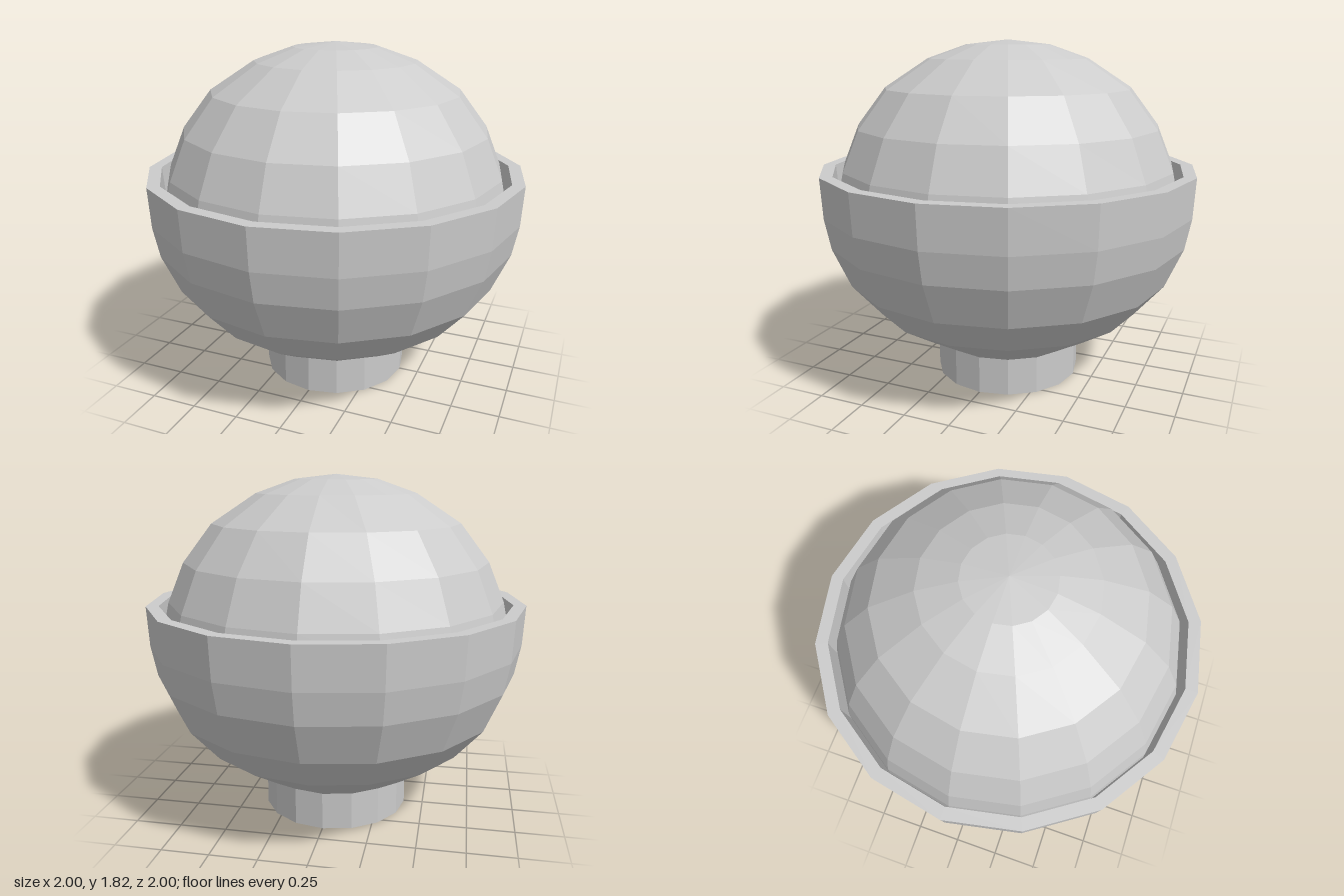
import * as THREE from 'three';

const SIDES = 16;
const grey = new THREE.MeshStandardMaterial({ color: 0xcccccc, flatShading: true });

// Faceted solid of revolution from [radius, height] pairs, listed bottom to top on the outside
function turned(name, profile) {
  const points = profile.map(([r, y]) => new THREE.Vector2(r, y));
  const mesh = new THREE.Mesh(new THREE.LatheGeometry(points, SIDES), grey);
  mesh.name = name;
  return mesh;
}

export function createModel() {
  const group = new THREE.Group();
  group.name = 'domedBowl';

  // Short round foot, closed underneath
  group.add(turned('foot', [[0, 0], [0.395, 0], [0.395, 0.205], [0, 0.205]]));

  // Bowl: outer wall, flat rim, inner wall and inner floor
  group.add(turned('bowl', [
    [0, 0.2], [0.395, 0.2], [0.55, 0.295], [0.72, 0.405], [0.87, 0.58], [0.96, 0.79], [0.99, 0.95], [1, 1.16],
    [0.935, 1.16], [0.92, 0.95], [0.89, 0.81], [0.81, 0.62], [0.67, 0.46], [0.36, 0.27], [0, 0.27],
  ]));

  // Rounded dome filling the bowl, its lower edge meeting the inner wall
  group.add(turned('dome', [
    [0.92, 0.95], [0.915, 1.04], [0.885, 1.175], [0.8, 1.38], [0.65, 1.575],
    [0.42, 1.725], [0.22, 1.795], [0, 1.82],
  ]));

  return group;
}
